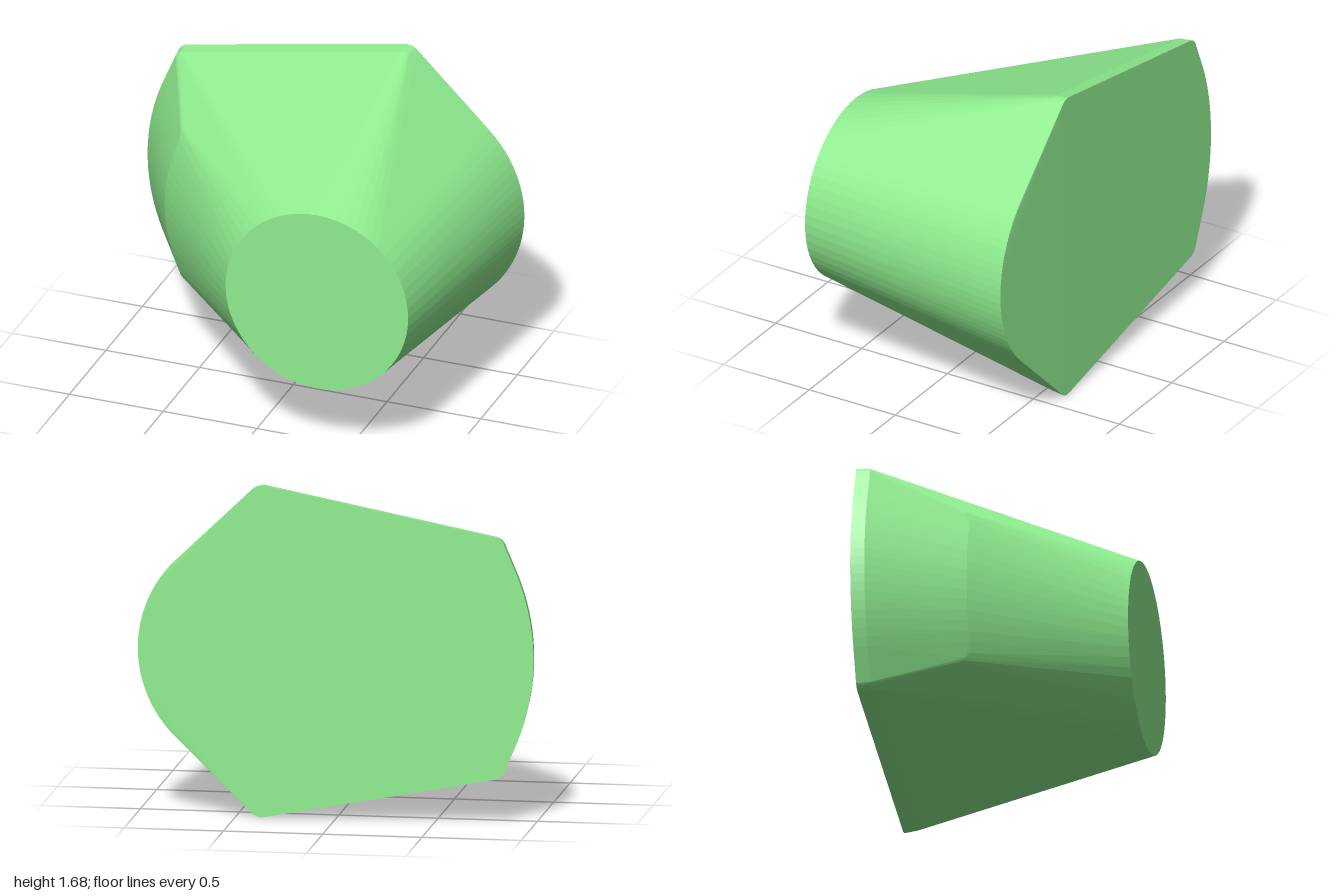
import * as THREE from 'three';
import { ConvexGeometry } from 'three/addons/geometries/ConvexGeometry.js';

const MID = 0.84; // height of the horizontal symmetry plane

export function createModel() {
  const points = [];

  // Arc of points at depth z; angles in degrees, 0 = +x, 90 = up
  const arc = (cx, cy, r, z, from, to, steps) => {
    for (let i = 0; i <= steps; i++) {
      const a = THREE.MathUtils.degToRad(from + (to - from) * i / steps);
      points.push(new THREE.Vector3(cx + r * Math.cos(a), MID + cy + r * Math.sin(a), z));
    }
  };
  // Same arc above and below the symmetry plane
  const mirrored = (cx, cy, r, z, from, to, steps) => {
    arc(cx, cy, r, z, from, to, steps);
    arc(cx, -cy, r, z, -from, -to, steps);
  };

  // Round front face
  arc(0.365, 0, 0.487, 0.615, 0, 354, 59);

  // Right rim of the back, slightly in front of the back plane
  arc(0.37, 0, 0.625, -0.61, -46, 46, 24);

  // Back plate: peaks, rounded corners and bowed left edge, with a short rim
  for (const [z, inset] of [[-0.62, 0], [-0.55, 0.008]]) {
    mirrored(0.37, 0.77, 0.07 - inset, z, z < -0.6 ? 44 : 60, 101, 8);
    mirrored(-0.79, 0.545, 0.07 - inset, z, 101, 148, 6);
    arc(0.12, 0, 1.12 - inset, z, 151, 209, 24);
  }

  // Bowed shoulder on the left flank
  arc(0.15, 0, 0.87, -0.085, 155, 205, 14);
  mirrored(-0.6, 0.375, 0.05, -0.11, 100, 155, 4);

  const body = new THREE.Mesh(
    new ConvexGeometry(points),
    new THREE.MeshStandardMaterial({ color: 0x90ee90 })
  );
  body.name = 'body';

  const group = new THREE.Group();
  group.name = 'taperedHull';
  group.add(body);
  return group;
}
